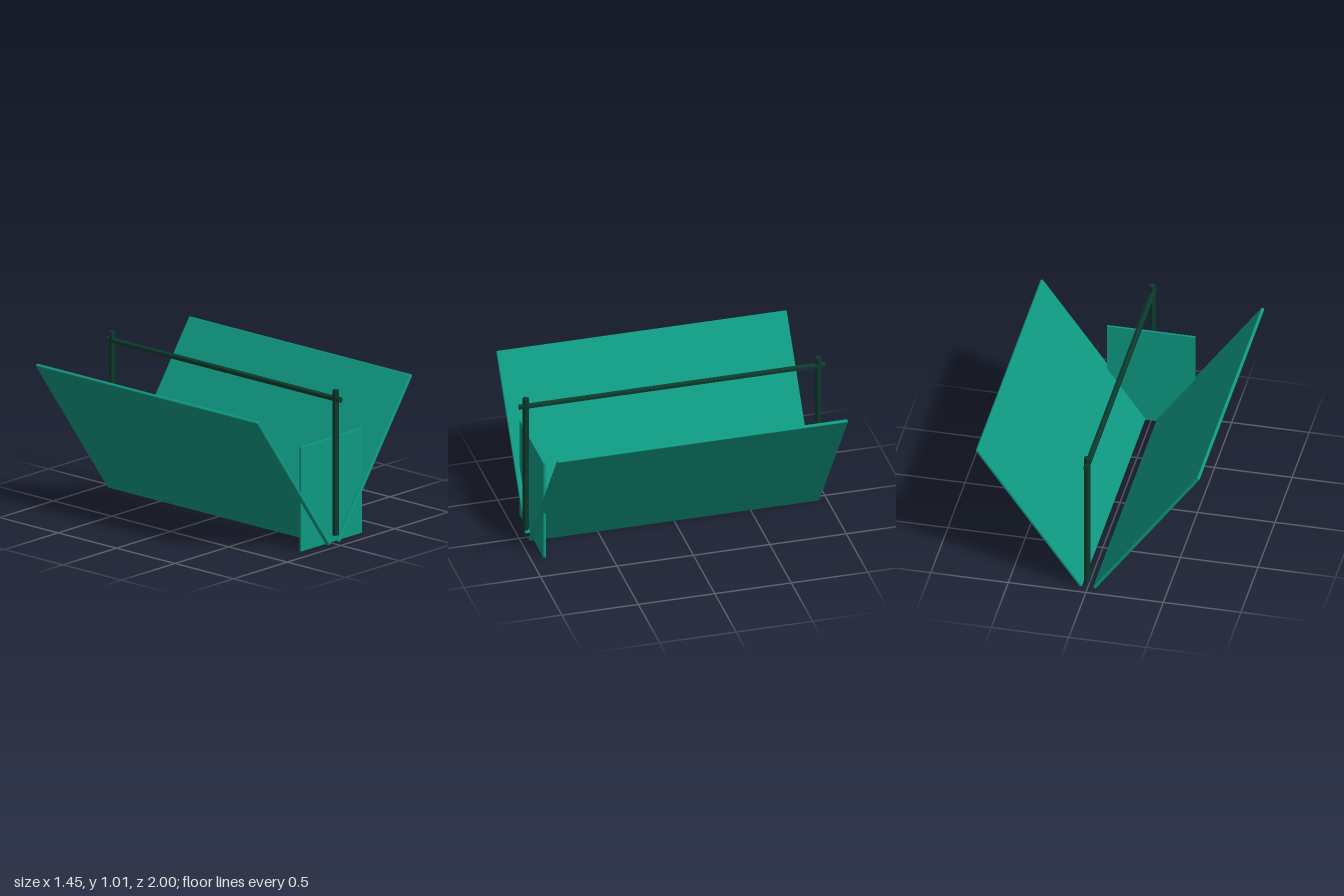
import * as THREE from 'three';
import { RoundedBoxGeometry } from 'three/addons/geometries/RoundedBoxGeometry.js';

export function createModel() {
  const model = new THREE.Group();
  model.name = 'ridgeFrame';
  const teal = new THREE.MeshStandardMaterial({ color: 0x0e9a82 });
  teal.name = 'teal sheet';
  const dark = new THREE.MeshStandardMaterial({ color: 0x0b3a2c, flatShading: true });
  dark.name = 'dark green pole';

  const add = (name, geometry, material, x, y, z) => {
    const mesh = new THREE.Mesh(geometry, material);
    mesh.name = name;
    mesh.position.set(x, y, z);
    model.add(mesh);
    return mesh;
  };

  // Two leaning sheets forming an open V
  const sheet = new RoundedBoxGeometry(0.022, 1.168, 1.9, 2, 0.008);
  const lean = Math.atan2(0.672, 0.947);
  for (const side of [-1, 1]) {
    const panel = add(side > 0 ? 'leftPanel' : 'rightPanel', sheet, teal, side * 0.379, 0.484, 0);
    panel.rotation.z = -side * lean;
  }

  // Upright plate across the front end
  add('frontPlate', new THREE.BoxGeometry(0.567, 0.685, 0.015), teal, 0, 0.3525, 0.912);

  // Six-sided end posts
  const post = new THREE.CylinderGeometry(0.0215, 0.0215, 0.953, 6);
  add('frontPost', post, dark, 0, 0.5415, 0.957);
  add('backPost', post, dark, 0, 0.5415, -0.957);

  // Six-sided ridge pole running through the posts
  const pole = add('ridgePole', new THREE.CylinderGeometry(0.019, 0.019, 2, 6), dark, 0, 0.96, 0);
  pole.rotation.x = Math.PI / 2;

  return model;
}
